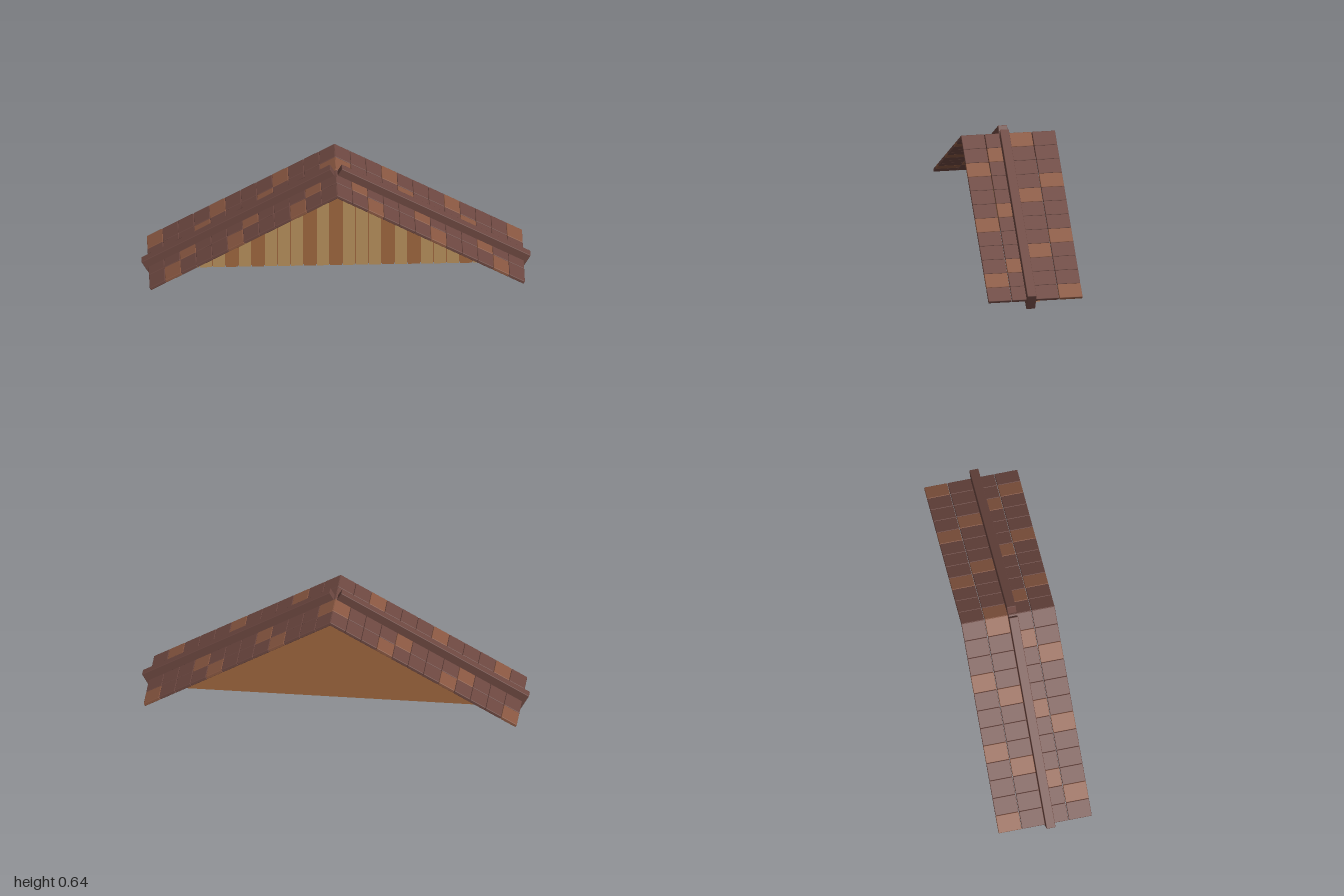
import * as THREE from 'three';
import { RoundedBoxGeometry } from 'three/addons/geometries/RoundedBoxGeometry.js';

const PITCH = Math.atan(0.567);   // roof slope
const TAN = Math.tan(PITCH), COS = Math.cos(PITCH);

function material(name, color) {
  const m = new THREE.MeshStandardMaterial({ color });
  m.name = name;
  return m;
}

export function createModel() {
  const model = new THREE.Group();
  model.name = 'gableRoof';
  const darkWood = material('darkRedBrown', 0x6d4841);
  const tileAccent = material('lightRedBrown', 0x8a5842);
  const paleWood = material('paleWood', 0xb8905c);
  const warmWood = material('warmWood', 0xa0683f);

  function add(parent, name, geometry, mat, x = 0, y = 0, z = 0) {
    const mesh = new THREE.Mesh(geometry, mat);
    mesh.name = name;
    mesh.position.set(x, y, z);
    parent.add(mesh);
    return mesh;
  }

  // Roof slopes: 12 rows by 4 columns of tiles, with a raised barge beam
  const rows = 12, cols = 4;
  const rowPitch = 0.965 / COS / rows, colPitch = 0.1227;
  const tileThick = 0.017;
  const tileGeo = new RoundedBoxGeometry(rowPitch - 0.001, tileThick, colPitch - 0.003, 1, 0.003);
  const beamStart = 0.03 / COS, beamEnd = 1 / COS, beamThick = 0.103;
  const beamGeo = new RoundedBoxGeometry(beamEnd - beamStart, beamThick, 0.047, 1, 0.003);

  for (const side of [1, -1]) {
    const label = side > 0 ? 'left' : 'right';
    const tiles = new THREE.Group();
    tiles.name = label + 'RoofTiles';
    tiles.position.y = 0.607;
    tiles.rotation.z = -side * PITCH;
    for (let r = 0; r < rows; r++) {
      for (let c = 0; c < cols; c++) {
        const accent = (r - c + 8) % 4 === 1;   // diagonal accent pattern
        const s = (rows - r - 0.5) * rowPitch;
        add(tiles, 'roofTile', tileGeo, accent ? tileAccent : darkWood,
          side * s, -tileThick / 2, (1.5 - c) * colPitch);
      }
    }
    model.add(tiles);

    const beam = new THREE.Group();
    beam.name = label + 'BargeBeam';
    beam.position.y = 0.657;
    beam.rotation.z = -side * PITCH;
    add(beam, 'bargeBeam', beamGeo, darkWood,
      side * (beamStart + beamEnd) / 2, -beamThick / 2, 0.0235);
    model.add(beam);
  }

  // Extruded outline of points, from z0 forward by depth
  function slab(points, depth) {
    const shape = new THREE.Shape(points.map(([x, y]) => new THREE.Vector2(x, y)));
    return new THREE.ExtrudeGeometry(shape, { depth, bevelEnabled: false });
  }

  // Triangular gable backing
  const base = 0.038, apex = 0.575;
  const half = (apex - base) / TAN;
  add(model, 'gablePanel', slab([[-half, base], [half, base], [0, apex]], 0.037), warmWood, 0, 0, -0.025);

  // Vertical planks cut to the slope
  const plankPitch = 0.0668, plankHalf = 0.0309;
  const warmPlanks = [-12, -8, -6, -2, 0, 4, 6, 10, 12];
  const topAt = x => apex - 0.003 - TAN * Math.abs(x);
  for (let i = -13; i <= 13; i++) {
    const x0 = i * plankPitch - plankHalf, x1 = i * plankPitch + plankHalf;
    const outline = [[x0, base], [x1, base], [x1, topAt(x1)]];
    if (i === 0) outline.push([0, topAt(0)]);
    outline.push([x0, topAt(x0)]);
    add(model, 'gablePlank', slab(outline, 0.013), warmPlanks.includes(i) ? warmWood : paleWood, 0, 0, 0.012);
  }

  return model;
}
